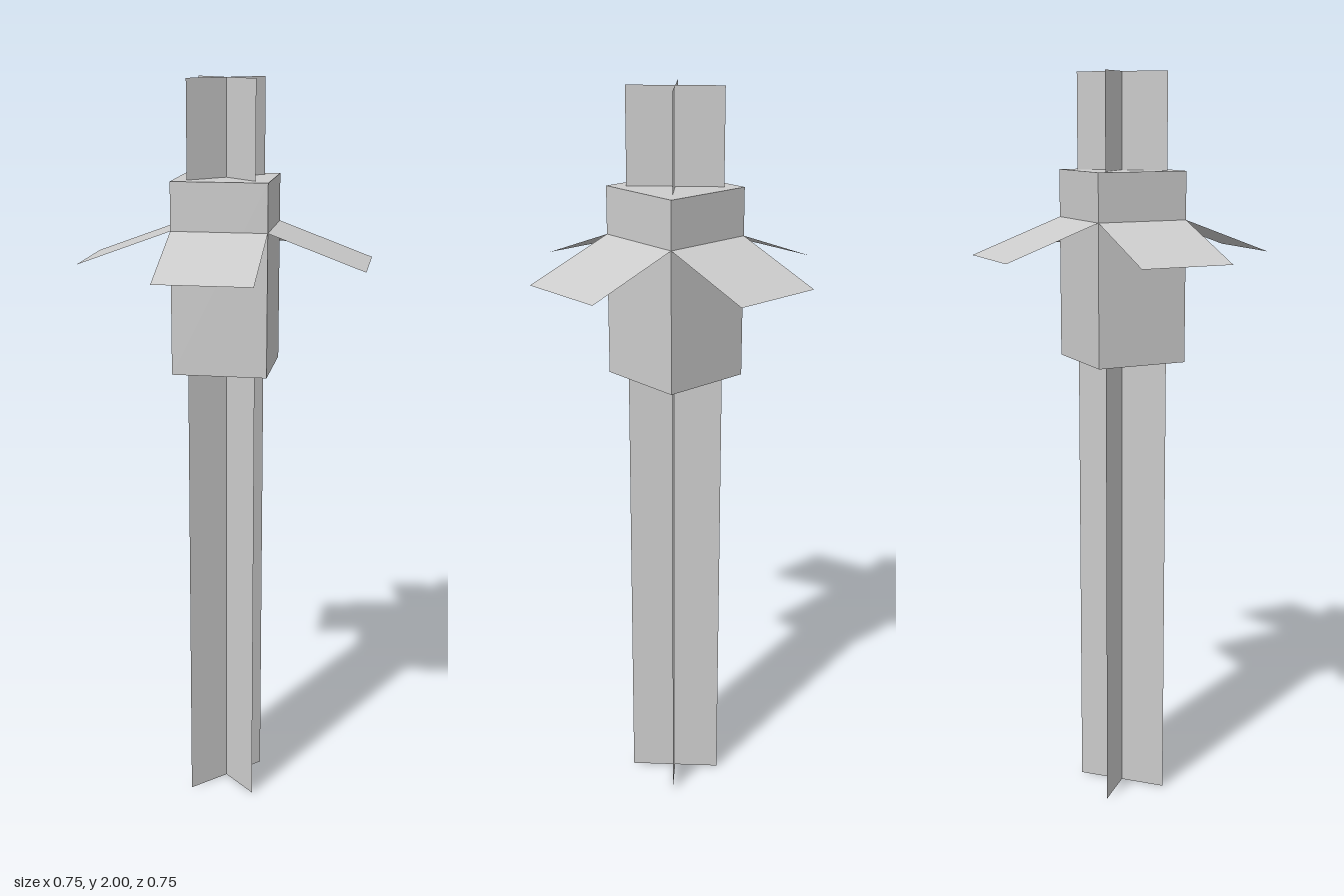
import * as THREE from 'three';

const W = 0.25;            // shared width of stem blades, block and flaps
const FLAP_DROP = 0.092;   // how far each flap slopes down over its reach

export function createModel() {
  const model = new THREE.Group();
  const solid = new THREE.MeshStandardMaterial({ color: 0xcccccc, flatShading: true });
  const sheet = new THREE.MeshStandardMaterial({ color: 0xcccccc, flatShading: true, side: THREE.DoubleSide });

  const add = (name, geometry, material) => {
    const mesh = new THREE.Mesh(geometry, material);
    mesh.name = name;
    model.add(mesh);
    return mesh;
  };

  // Two thin full-height blades crossing on the diagonals
  for (const side of [1, -1]) {
    const blade = add('stemBlade', new THREE.PlaneGeometry(W, 2), sheet);
    blade.position.y = 1;
    blade.rotation.y = side * Math.PI / 4;
  }

  // Block around the upper stem
  add('block', new THREE.BoxGeometry(W, 0.5, W), solid).position.y = 1.5;

  // Four flaps sloping outwards and down, one from each face of the block
  const flapGeometry = new THREE.PlaneGeometry(W, Math.hypot(W, FLAP_DROP));
  flapGeometry.rotateX(-Math.PI / 2 + Math.atan2(FLAP_DROP, W));
  flapGeometry.translate(0, 1.625 - FLAP_DROP / 2, W);
  for (let i = 0; i < 4; i++) {
    add('flap', flapGeometry, sheet).rotation.y = i * Math.PI / 2;
  }

  return model;
}
